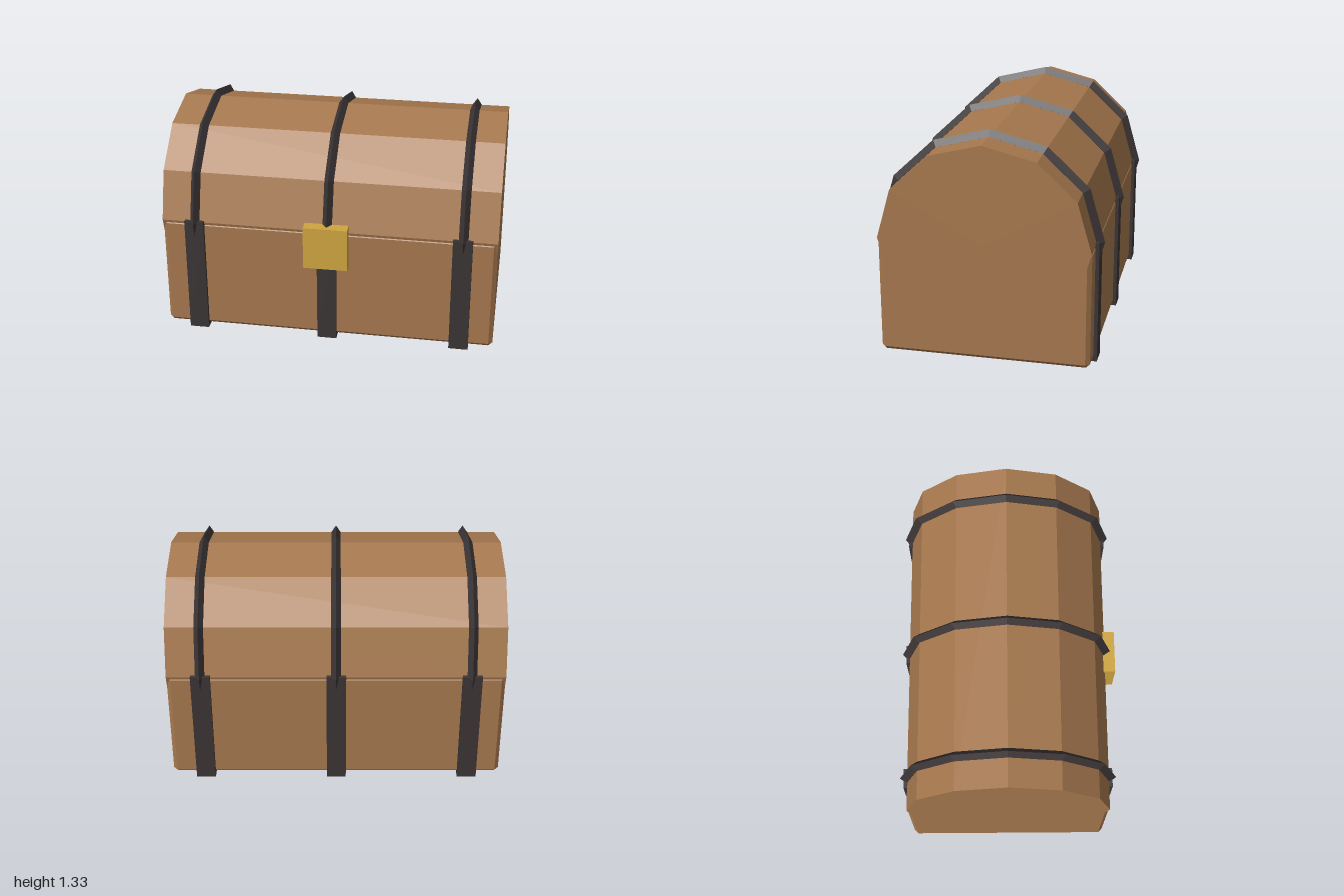
import * as THREE from 'three';
import { ConvexGeometry } from 'three/addons/geometries/ConvexGeometry.js';

const CENTRE_Z = -0.007; // body sits slightly back to make room for the lock
const SPRING_Y = 0.714;  // height where the lid's arch begins

function material(name, color) {
  const m = new THREE.MeshStandardMaterial({ color, flatShading: true });
  m.name = name;
  return m;
}

// Box with every edge cut at 45 degrees
function chamferedBox(w, h, d, c) {
  const points = [];
  for (const sx of [-1, 1]) for (const sy of [-1, 1]) for (const sz of [-1, 1]) {
    const x = w / 2, y = h / 2, z = d / 2;
    points.push(
      new THREE.Vector3(sx * x, sy * (y - c), sz * (z - c)),
      new THREE.Vector3(sx * (x - c), sy * y, sz * (z - c)),
      new THREE.Vector3(sx * (x - c), sy * (y - c), sz * z)
    );
  }
  return new ConvexGeometry(points);
}

export function createModel() {
  const wood = material('wood', 0xa6784e);
  const iron = material('dark iron', 0x3b3435);
  const brass = material('brass', 0xcfa541);

  const chest = new THREE.Group();
  chest.name = 'chest';
  const add = (name, geometry, mat, x, y, z) => {
    const mesh = new THREE.Mesh(geometry, mat);
    mesh.name = name;
    mesh.position.set(x, y, z);
    chest.add(mesh);
  };

  // Wooden body
  add('body', chamferedBox(2, 0.7, 1.226, 0.024), wood, 0, 0.366, CENTRE_Z);

  // Arched lid: a twelve-sided barrel, lower half hidden in the body
  const lid = new THREE.CylinderGeometry(0.613, 0.613, 2, 12);
  lid.rotateZ(Math.PI / 2).scale(1, 0.944, 1);
  add('lid', lid, wood, 0, SPRING_Y, CENTRE_Z);

  // Iron straps round the body and ridged hoops over the lid
  const strap = new THREE.BoxGeometry(0.116, 0.724, 1.268);
  const hoop = new THREE.TorusGeometry(0.615, 0.042, 4, 12);
  hoop.rotateY(Math.PI / 2).scale(0.67, 0.941, 1);
  [['right', -0.8], ['middle', 0], ['left', 0.8]].forEach(([side, x]) => {
    add(side + 'Strap', strap, iron, x - 0.002, 0.362, CENTRE_Z);
    add(side + 'Hoop', hoop, iron, x, SPRING_Y, CENTRE_Z);
  });

  // Lock plate
  add('lock', new THREE.BoxGeometry(0.262, 0.262, 0.075), brass, -0.003, 0.626, 0.629);

  return chest;
}
